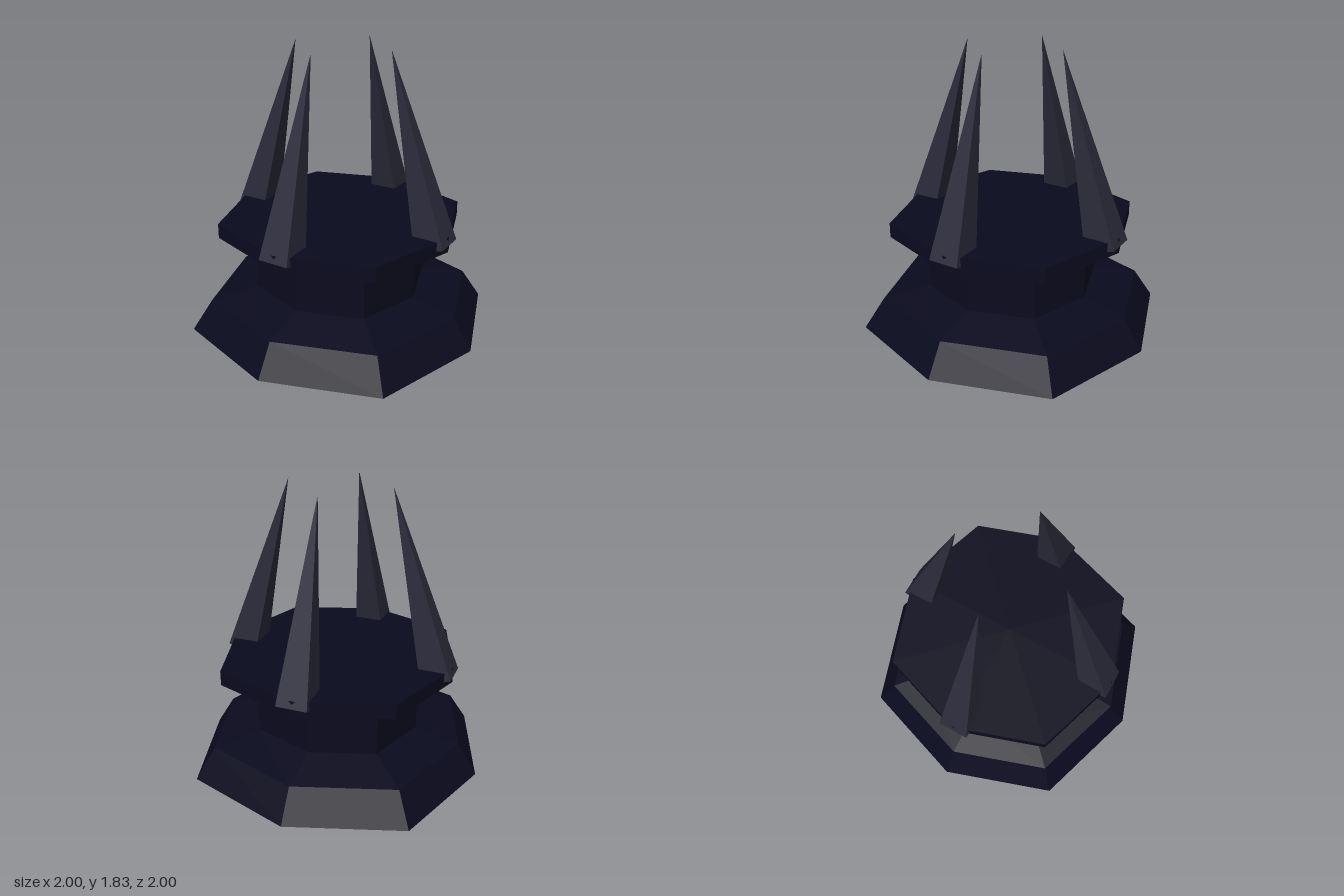
import * as THREE from 'three';

const stone = new THREE.MeshStandardMaterial({ color: 0x0a0a1e, flatShading: true });
stone.name = 'dark navy stone';
const horn = new THREE.MeshStandardMaterial({ color: 0x2a2a3a, flatShading: true });
horn.name = 'slate grey spike';

// Eight-sided solid from [radius, height] pairs; the diagonal corners sit slightly closer in.
function octagonalSolid(name, profile) {
  const points = profile.map(([r, y]) => new THREE.Vector2(r, y));
  const geometry = new THREE.LatheGeometry(points, 8);
  const pos = geometry.attributes.position;
  for (let i = 0; i < pos.count; i++) {
    const segment = Math.floor(i / points.length);
    const k = segment % 2 ? 0.942 : 1;
    pos.setXYZ(i, pos.getX(i) * k, pos.getY(i), pos.getZ(i) * k);
  }
  geometry.computeVertexNormals();
  const mesh = new THREE.Mesh(geometry, stone);
  mesh.name = name;
  return mesh;
}

// Four-sided spike leaning inward, one flat side facing out
function spike(angle) {
  const geometry = new THREE.ConeGeometry(0.14, 1.215, 4, 1);
  geometry.rotateY(Math.PI / 4);
  geometry.translate(0, 1.215 / 2, 0);
  geometry.rotateZ(0.276);
  geometry.translate(0.668, 0.661, 0);
  const mesh = new THREE.Mesh(geometry, horn);
  mesh.name = 'spike';
  mesh.rotation.y = angle;
  return mesh;
}

export function createModel() {
  const model = new THREE.Group();
  model.name = 'spikedPedestal';

  // Pedestal: sloped foot, column, flared top, all in one closed outline
  model.add(octagonalSolid('pedestal', [
    [0, 0], [1, 0], [0.868, 0.2], [0.565, 0.265],
    [0.565, 0.537], [0.8, 0.637], [0.8, 0.732], [0, 0.732],
  ]));

  // Ring of spikes on the diagonals
  const spikes = new THREE.Group();
  spikes.name = 'spikes';
  for (let i = 0; i < 4; i++) spikes.add(spike(Math.PI / 4 + i * Math.PI / 2));
  model.add(spikes);

  return model;
}
